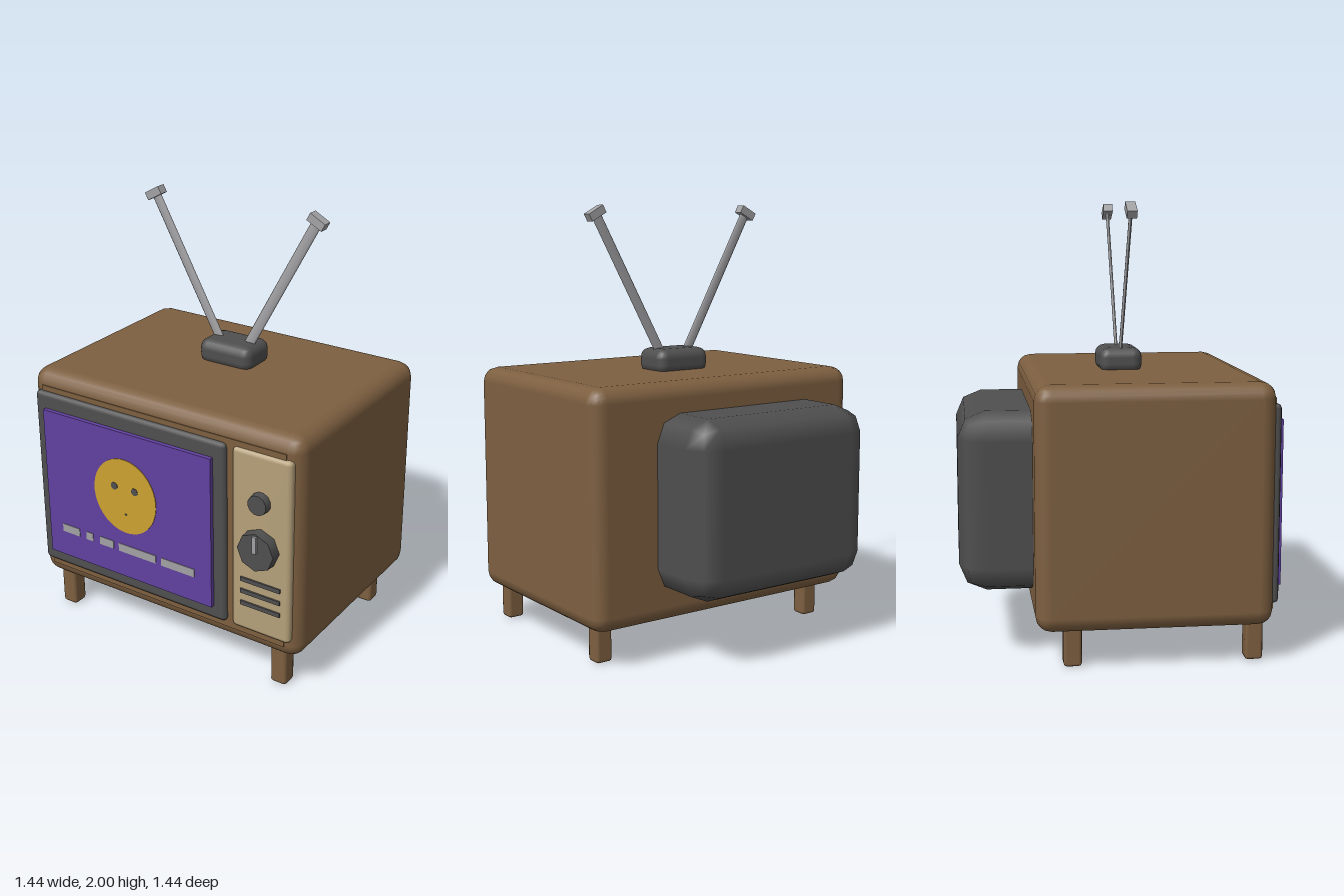
import * as THREE from 'three';
import { RoundedBoxGeometry } from 'three/addons/geometries/RoundedBoxGeometry.js';

const paint = (name, color) => {
  const m = new THREE.MeshStandardMaterial({ color });
  m.name = name;
  return m;
};

export function createModel() {
  const wood = paint('brown wood', 0x7d5f40);
  const dark = paint('dark grey plastic', 0x4f4f4f);
  const purple = paint('purple screen', 0x6140a0);
  const yellow = paint('yellow', 0xcca232);
  const tan = paint('tan panel', 0xb5a07a);
  const metal = paint('light grey metal', 0xa2a2a5);

  const model = new THREE.Group();
  model.name = 'television';

  const add = (name, geometry, material, parent = model) => {
    const mesh = new THREE.Mesh(geometry, material);
    mesh.name = name;
    parent.add(mesh);
    return mesh;
  };

  // Box given by its limits on each axis, rounded when r > 0
  const box = (name, material, [x0, x1], [y0, y1], [z0, z1], r = 0, segments = 1) => {
    const size = [x1 - x0, y1 - y0, z1 - z0];
    const geometry = r ? new RoundedBoxGeometry(...size, segments, r) : new THREE.BoxGeometry(...size);
    const mesh = add(name, geometry, material);
    mesh.position.set((x0 + x1) / 2, (y0 + y1) / 2, (z0 + z1) / 2);
    return mesh;
  };

  // Round part facing the front
  const disc = (name, material, x, y, z0, z1, rBack, rFront, sides) => {
    const geometry = new THREE.CylinderGeometry(rFront, rBack, z1 - z0, sides);
    geometry.rotateY(Math.PI / sides).rotateX(Math.PI / 2);
    const mesh = add(name, geometry, material);
    mesh.position.set(x, y, (z0 + z1) / 2);
    return mesh;
  };

  // Cabinet, front inset and rear tube housing
  box('cabinet', wood, [-0.72, 0.72], [0.17, 1.24], [-0.4, 0.64], 0.07, 2);
  box('frontInset', wood, [-0.65, 0.65], [0.235, 1.17], [0.636, 0.644]);
  box('tubeHousing', dark, [-0.56, 0.4], [0.305, 1.105], [-0.72, -0.25], 0.12);

  // Legs
  for (const x of [-0.6, 0.6]) {
    for (const z of [-0.237, 0.566]) {
      box('leg', wood, [x - 0.04, x + 0.04], [0, 0.19], [z - 0.04, z + 0.04], 0.015);
    }
  }

  // Screen and its surround
  box('screenBezel', dark, [-0.68, 0.36], [0.265, 1.145], [0.6, 0.664], 0.02);
  box('screen', purple, [-0.62, 0.3], [0.335, 1.07], [0.65, 0.684]);

  // Picture on the screen: a round face over a row of plain bars
  disc('face', yellow, -0.163, 0.755, 0.682, 0.687, 0.173, 0.173, 40).scale.y = 1.07;
  for (const x of [-0.22, -0.107]) disc('eye', dark, x, 0.795, 0.685, 0.689, 0.018, 0.018, 16);
  disc('mouth', dark, -0.16, 0.665, 0.685, 0.689, 0.006, 0.006, 8);
  for (const span of [[-0.54, -0.44], [-0.4, -0.36], [-0.32, -0.24], [-0.21, 0], [0.03, 0.21]]) {
    box('captionBar', metal, span, [0.462, 0.502], [0.682, 0.687]);
  }

  // Control panel with two knobs and speaker slots
  box('controlPanel', tan, [0.39, 0.685], [0.265, 1.145], [0.6, 0.66], 0.02);
  disc('smallKnob', dark, 0.54, 0.925, 0.655, 0.695, 0.049, 0.046, 12);
  disc('largeKnob', dark, 0.54, 0.705, 0.655, 0.707, 0.093, 0.09, 8).rotation.z = Math.PI / 8;
  box('knobPointer', metal, [0.53, 0.55], [0.705, 0.785], [0.7, 0.718]);
  for (const y of [0.405, 0.465, 0.525]) {
    box('speakerSlot', dark, [0.44, 0.64], [y - 0.01, y + 0.01], [0.655, 0.668]);
  }

  // Antenna foot and two flat rods with end caps
  box('antennaFoot', dark, [-0.14, 0.14], [1.22, 1.34], [-0.058, 0.14], 0.045, 2);
  for (const side of [-1, 1]) {
    const arm = new THREE.Group();
    arm.name = side > 0 ? 'antennaLeft' : 'antennaRight';
    arm.position.set(side * 0.065, 1.3, 0.042);
    arm.rotation.z = -side * 0.5;
    const rod = add('antennaRod', new THREE.CylinderGeometry(0.025, 0.025, 0.76, 8), metal, arm);
    rod.position.y = 0.38;
    rod.scale.z = 0.3;
    const cap = add('antennaCap', new THREE.BoxGeometry(0.084, 0.038, 0.045), metal, arm);
    cap.position.y = 0.757;
    model.add(arm);
  }

  return model;
}
